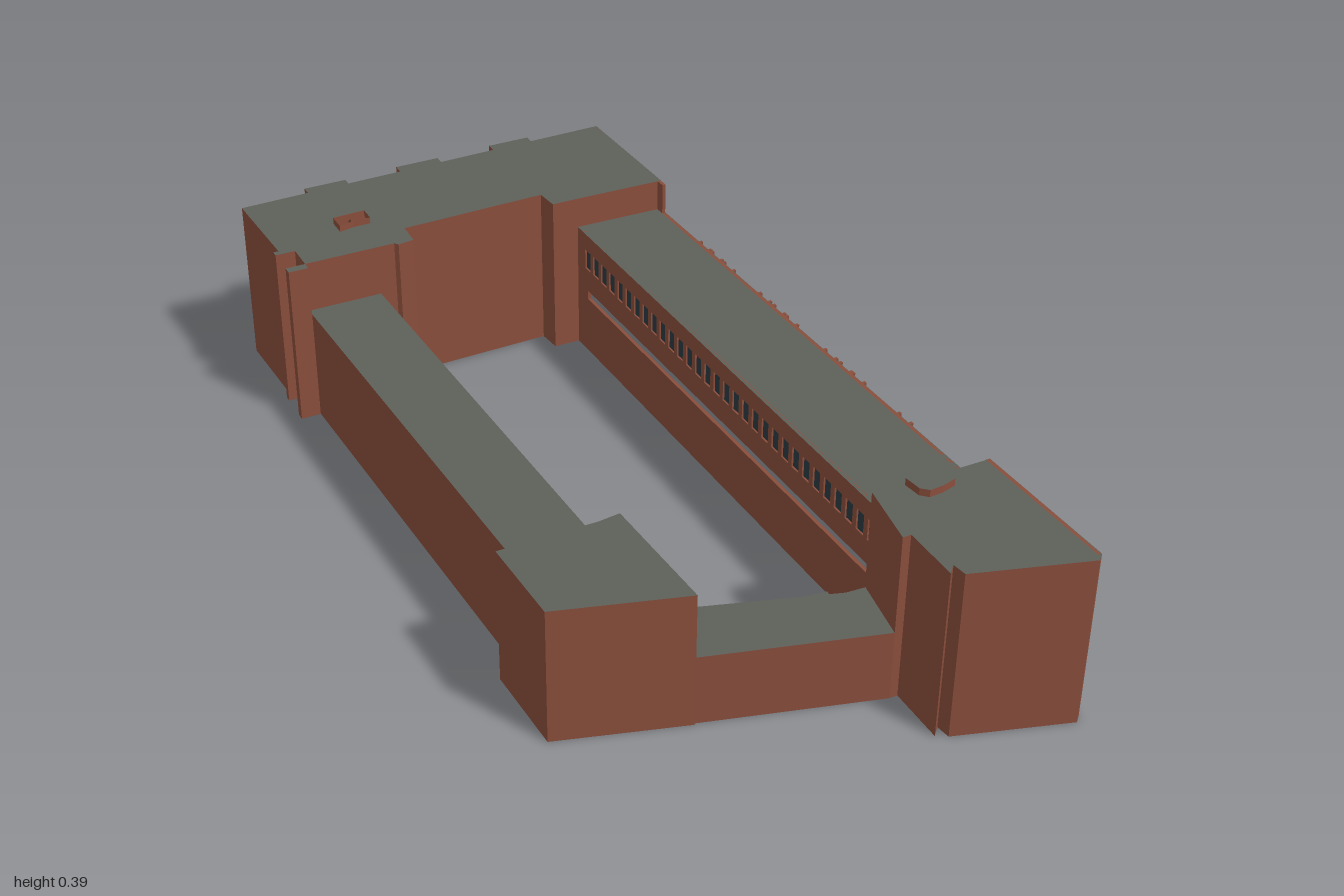
import * as THREE from 'three';
import { mergeGeometries } from 'three/addons/utils/BufferGeometryUtils.js';

const material = (name, color) => {
  const m = new THREE.MeshStandardMaterial({ color, side: THREE.DoubleSide });
  m.name = name;
  return m;
};

const TALL = 0.378, MID = 0.305, LOW = 0.26, STRIP = 0.17, LINK = 0.158;

export function createModel() {
  const brick = material('brick', 0x8a4e3c);
  const slate = material('roof slate', 0x5e605a);
  const glass = material('window glass', 0x2c3a42);
  const model = new THREE.Group();

  const add = (parent, name, geometry, mat) => {
    const mesh = new THREE.Mesh(geometry, mat);
    mesh.name = name;
    parent.add(mesh);
    return mesh;
  };

  // Hollow block open at the bottom. Each corner is [x, z, foot of the wall that
  // starts there]; a foot of null leaves that wall out.
  function block(name, corners, height, { foot = 0, roof = true, opening } = {}) {
    const group = new THREE.Group();
    group.name = name;
    const pos = [];
    corners.forEach(([ax, az, base = foot], i) => {
      if (base === null) return;
      const [bx, bz] = corners[(i + 1) % corners.length];
      pos.push(bx, base, bz, ax, base, az, ax, height, az);
      pos.push(bx, base, bz, ax, height, az, bx, height, bz);
    });
    if (pos.length) {
      const walls = new THREE.BufferGeometry();
      walls.setAttribute('position', new THREE.Float32BufferAttribute(pos, 3));
      walls.computeVertexNormals();
      add(group, name + ' walls', walls, brick);
    }
    if (roof) {
      const flat = (list) => list.map(([x, z]) => new THREE.Vector2(x, -z));
      const shape = new THREE.Shape(flat(corners));
      if (opening) shape.holes.push(new THREE.Path(flat(opening)));
      const top = new THREE.ShapeGeometry(shape).rotateX(-Math.PI / 2).translate(0, height, 0);
      add(group, name + ' roof', top, slate);
    }
    model.add(group);
  }

  // Upright wall from one ground point to another, with openings [u, v, w, h, glazed]
  function facade(name, from, to, outline, openings) {
    const group = new THREE.Group();
    group.name = name;
    const shape = new THREE.Shape(outline.map(([u, v]) => new THREE.Vector2(u, v)));
    const panes = [];
    for (const [u, v, w, h, glazed] of openings) {
      const hole = new THREE.Path();
      hole.moveTo(u - w / 2, v - h / 2);
      hole.lineTo(u - w / 2, v + h / 2);
      hole.lineTo(u + w / 2, v + h / 2);
      hole.lineTo(u + w / 2, v - h / 2);
      hole.closePath();
      shape.holes.push(hole);
      if (glazed) panes.push(new THREE.PlaneGeometry(w, h).translate(u, v, -0.004));
    }
    const wall = new THREE.ExtrudeGeometry(shape, { depth: 0.008, bevelEnabled: false });
    add(group, name + ' wall', wall.translate(0, 0, -0.008), brick);
    add(group, name + ' panes', mergeGeometries(panes), glass);
    group.position.set(from[0], 0, from[1]);
    group.rotation.y = Math.atan2(-(to[1] - from[1]), to[0] - from[0]);
    model.add(group);
    return group;
  }

  // Back block with three shallow bays and an open roof shaft
  const shaft = [[-0.32, -0.797], [-0.245, -0.8], [-0.245, -0.763], [-0.285, -0.763], [-0.32, -0.755]];
  const bays = [[-0.32, -0.22, -0.987], [-0.09, 0.015, -0.995], [0.15, 0.25, -1]].flatMap(([x0, x1, z]) => {
    const line = (x) => -0.972 - 0.0244 * x;
    return [[x0, line(x0)], [x0, z], [x1, z], [x1, line(x1)]];
  });
  block('back block', [
    [-0.48, -0.96], ...bays, [0.426, -0.982, null], [0.435, -0.657, MID], [0.222, -0.662],
    [0.16, -0.662], [0.155, -0.717], [-0.185, -0.707], [-0.188, -0.648], [-0.225, -0.643], [-0.232, -0.652, STRIP],
    [-0.27, -0.652, LOW], [-0.44, -0.652], [-0.44, -0.717], [-0.485, -0.717], [-0.485, -0.732], [-0.473, -0.732],
  ], TALL, { opening: shaft });
  block('roof shaft', shaft, 0.393, { foot: TALL, roof: false });
  block('side pillar', [[-0.485, -0.652], [-0.44, -0.652], [-0.44, -0.632], [-0.485, -0.632]], TALL);

  // Left wing with a lower strip along the courtyard
  block('left wing', [[-0.44, -0.652, null], [-0.27, -0.652, STRIP], [-0.245, 0.403, null], [-0.413, 0.403]], LOW);
  block('courtyard strip', [[-0.27, -0.652, null], [-0.232, -0.652], [-0.197, 0.397, null], [-0.245, 0.403, null]], STRIP);

  // Front left block
  block('front left block', [
    [-0.457, 0.403], [-0.413, 0.403, LOW], [-0.245, 0.403, STRIP], [-0.197, 0.397], [-0.185, 0.687], [-0.452, 0.608],
  ], MID);

  // Link between the front blocks, lower towards the courtyard
  block('front link', [[-0.19, 0.525, 0.08], [0.165, 0.638], [0.207, 0.64, null], [0.182, 0.784], [-0.185, 0.683, null]], LINK);
  block('link terrace', [
    [-0.19, 0.47], [-0.02, 0.518], [0.085, 0.519], [0.19, 0.533], [0.187, 0.578], [0.207, 0.583],
    [0.207, 0.64, null], [0.165, 0.638, null], [-0.19, 0.525, null],
  ], 0.08);

  // Front right block, open to the link below its roof, and its roof box
  block('front right block', [
    [0.207, 0.638], [0.245, 0.643, MID], [0.467, 0.643, null], [0.475, 0.985], [0.46, 1],
    [0.222, 0.927], [0.218, 0.895], [0.2, 0.914], [0.2, 0.784], [0.182, 0.784, LINK],
  ], TALL);
  block('roof box', [
    [0.275, 0.645], [0.36, 0.645], [0.357, 0.688], [0.325, 0.697], [0.295, 0.699], [0.28, 0.685],
  ], 0.394, { foot: TALL });

  // Right wing roof; its two walls are the facades below
  block('right wing', [[0.222, -0.662, null], [0.435, -0.657, null], [0.467, 0.643, null], [0.247, 0.643, null]], MID);

  // Street facade: window columns given by z
  const columns = [
    0.957, 0.903, 0.844, 0.79, 0.732, 0.678, 0.619, 0.55, 0.48, 0.426, 0.357, 0.185, 0.137, 0.078,
    -0.078, -0.131, -0.19, -0.346, -0.4, -0.453, -0.614, -0.684, -0.732, -0.79, -0.84, -0.898, -0.957,
  ];
  const rows = [0.038, 0.113, 0.183, 0.263, 0.34];
  const windows = columns.flatMap((z) => rows
    .filter((y) => y < MID || z > 0.65 || z < -0.64)
    .map((y) => [0.985 - z, y, Math.abs(z - 0.357) < 0.01 ? 0.034 : 0.021, 0.047, true]));
  const street = facade('street facade', [0.475, 0.985], [0.426, -0.982], [
    [0, 0], [1.967, 0], [1.967, TALL], [1.62, TALL], [1.62, MID], [0.343, MID], [0.343, TALL], [0, TALL],
  ], windows);

  // Slim pilasters beside the window columns of the wing
  for (const z of columns.filter((c) => c < 0.4 && c > -0.6)) {
    for (const side of [-0.021, 0.021]) {
      const pilaster = new THREE.BoxGeometry(0.007, MID, 0.008);
      add(street, 'pilaster', pilaster, brick).position.set(0.985 - z + side, MID / 2, 0.004);
    }
  }

  // Balconies
  for (const z of [0.127, -0.135, -0.4]) {
    for (const y of [0.16, 0.231]) {
      add(street, 'balcony', new THREE.BoxGeometry(0.056, 0.031, 0.034), brick).position.set(0.985 - z, y, 0.015);
    }
  }

  // Courtyard facade: one window row above a long open slot
  const openings = [[0.65, 0.15, 1.2, 0.022, false]];
  for (let i = 0; i < 31; i++) openings.push([0.05 + i * 0.04, 0.24, 0.026, 0.048, true]);
  facade('courtyard facade', [0.222, -0.662], [0.247, 0.643], [[0, 0], [1.305, 0], [1.305, MID], [0, MID]], openings);

  return model;
}
